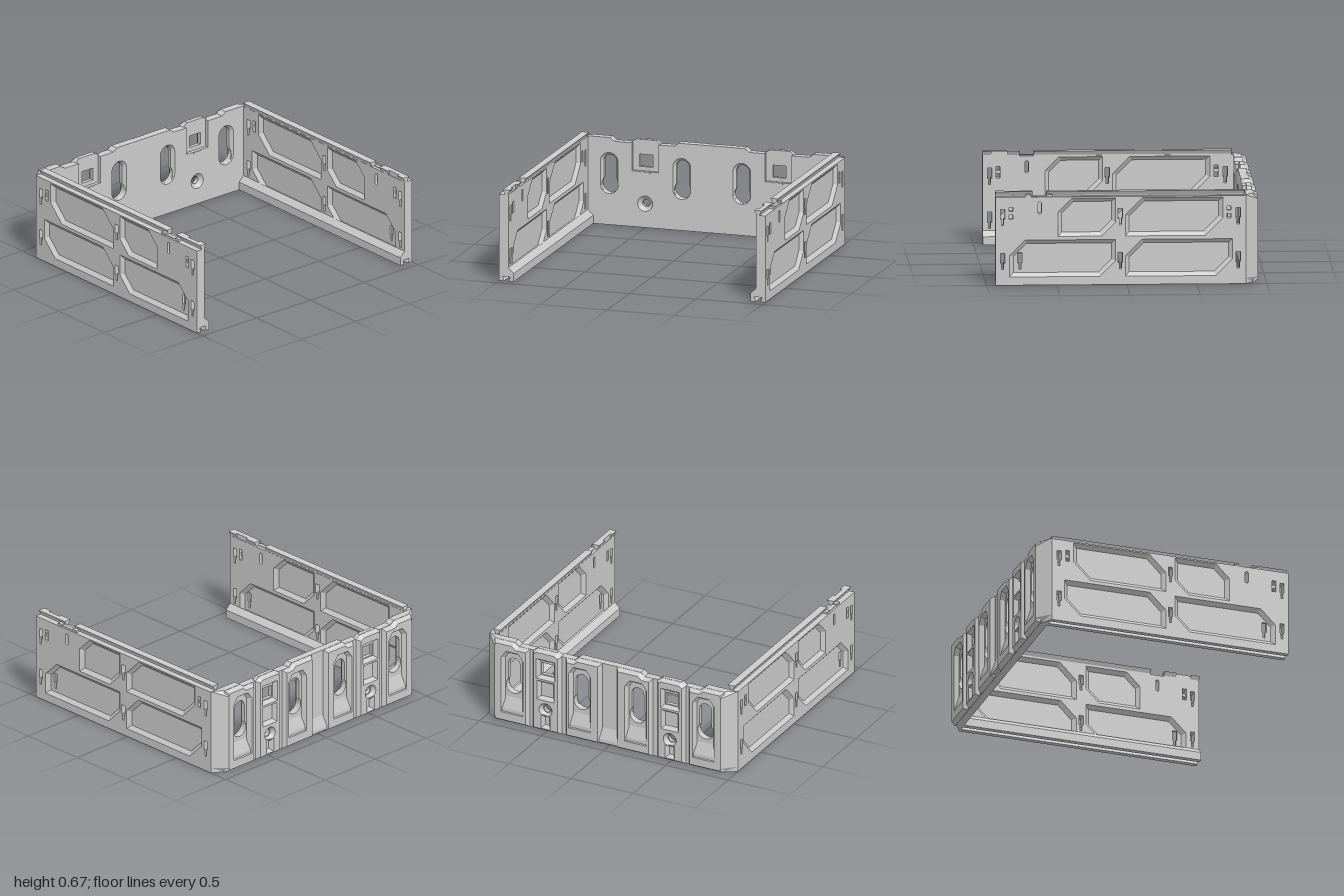
import * as THREE from 'three';

const grey = new THREE.MeshStandardMaterial({ color: 0xcccccc, flatShading: true });
const greyThin = new THREE.MeshStandardMaterial({ color: 0xcccccc, flatShading: true, side: THREE.DoubleSide });

const V = (pts) => pts.map(([x, y]) => new THREE.Vector2(x, y));
const rect = (x0, x1, y0, y1) => [[x0, y0], [x1, y0], [x1, y1], [x0, y1]];

// Extrude an outline with holes; bevel = [size, thickness] slopes all edges inwards
function extrude(outline, holes, depth, bevel, steps = 1) {
  const shape = new THREE.Shape(V(outline));
  holes.forEach((h) => shape.holes.push(new THREE.Path(V(h))));
  const b = bevel || [0, 0];
  return new THREE.ExtrudeGeometry(shape, {
    depth, steps, bevelEnabled: !!bevel, bevelSize: b[0], bevelOffset: -b[0], bevelThickness: b[1], bevelSegments: 1,
  });
}

// Sloped band joining two loops with the same number of points
function band(a, za, b, zb) {
  const pos = [];
  a.forEach((p, i) => {
    const j = (i + 1) % a.length;
    const A = [...p, za], B = [...a[j], za], C = [...b[j], zb], D = [...b[i], zb];
    pos.push(...A, ...B, ...C, ...A, ...C, ...D);
  });
  const g = new THREE.BufferGeometry();
  g.setAttribute('position', new THREE.Float32BufferAttribute(pos, 3));
  g.computeVertexNormals();
  return g;
}

// Slot loop: arc of radius rb at the bottom, rt at the top
function slot(cx, yb, rb, yt, rt, n = 14) {
  const pts = [];
  const a = Math.asin(Math.min(1, rt / rb) * 0.999);
  const start = rb > rt ? Math.PI / 2 - a : 0; // where the round end meets the narrow neck
  const span = Math.PI + 2 * start;
  for (let i = 0; i <= n; i++) {
    const t = Math.PI - -start * -1 + (span * i) / n;
    pts.push([cx + rb * Math.cos(t), yb + rb * Math.sin(t)]);
  }
  for (let i = 0; i <= n; i++) {
    const t = (Math.PI * i) / n;
    pts.push([cx + rt * Math.cos(t), yt + rt * Math.sin(t)]);
  }
  return pts;
}
const circle = (cx, cy, r, n = 24) =>
  Array.from({ length: n }, (_, i) => [cx + r * Math.cos((i / n) * 2 * Math.PI), cy + r * Math.sin((i / n) * 2 * Math.PI)]);

// Mirrored copy across x = 0 with corrected winding
function mirror(geo) {
  const g = geo.index ? geo.toNonIndexed() : geo.clone();
  g.scale(-1, 1, 1);
  const p = g.attributes.position;
  for (let i = 0; i < p.count; i += 3) {
    const b = [p.getX(i + 1), p.getY(i + 1), p.getZ(i + 1)];
    p.setXYZ(i + 1, p.getX(i + 2), p.getY(i + 2), p.getZ(i + 2));
    p.setXYZ(i + 2, ...b);
  }
  g.computeVertexNormals();
  return g;
}

export function createModel() {
  const root = new THREE.Group();
  root.name = 'mountingBracket';
  const left = new THREE.Group(), right = new THREE.Group();
  left.name = 'leftHalf';
  right.name = 'rightHalf';
  root.add(left, right);

  function add(name, geo, mat = grey) {
    [[left, geo], [right, mirror(geo)]].forEach(([parent, g]) => {
      const m = new THREE.Mesh(g, mat);
      m.name = name;
      parent.add(m);
    });
  }
  const box = (name, x0, x1, y0, y1, z0, z1) =>
    add(name, new THREE.BoxGeometry(x1 - x0, y1 - y0, z1 - z0).translate((x0 + x1) / 2, (y0 + y1) / 2, (z0 + z1) / 2));

  // ---- Back plate: front skin with countersinks, rear skin with through holes
  const keyX = [0.225, 0.77];
  const rims = keyX.map((x) => slot(x, 0.295, 0.067, 0.463, 0.067));
  const keys = keyX.map((x) => slot(x, 0.295, 0.064, 0.463, 0.048));
  const topEdge = [[0.9, 0.64], [0.765, 0.64], [0.73, 0.615], [0.61, 0.615]];
  const topEnd = [[0.39, 0.615], [0.28, 0.615], [0.25, 0.64], [0, 0.64]];
  const recess = [[0.6, 0.615], [0.6, 0.41], [0.4, 0.41], [0.4, 0.615]];
  const tab = [[0.58, 0.64], [0.425, 0.64]];
  const bolt = circle(0.5, 0.175, 0.057), boltIn = circle(0.5, 0.175, 0.027);
  add('backPlateFront', extrude([[0, 0], [0.9, 0], ...topEdge, ...recess, ...topEnd], [...rims, bolt], 0.025).translate(0, 0, -0.875));
  add('backPlateRear', extrude([[0, 0], [0.9, 0], ...topEdge, ...tab, ...topEnd],
    [...keys, boltIn, rect(0.45, 0.55, 0.44, 0.53)], 0.03).translate(0, 0, -0.905));
  keyX.forEach((_, i) => add('keyholeRim', band(rims[i], -0.85, keys[i], -0.876), greyThin));
  add('boltCountersink', band(bolt, -0.85, boltIn, -0.876), greyThin);
  box('windowLip', 0.465, 0.535, 0.398, 0.408, -0.855, -0.843);

  // ---- Raised ribs on the rear, with pockets behind the keyholes
  const pocket = (x) => [[-0.068, 0.1], [0.068, 0.1], [0.068, 0.51], [0.04, 0.55], [-0.04, 0.55], [-0.068, 0.51]].map(([u, y]) => [x + u, y]);
  const rib = (name, outline, holes) => add(name, extrude(outline, holes, 0.002, [0.02, 0.03]).translate(0, 0, -0.91));
  rib('innerRib', [[0.06, 0], [0.35, 0], [0.35, 0.615], [0.28, 0.615], [0.25, 0.64], [0.06, 0.64]], [pocket(keyX[0])]);
  rib('outerRib', [[0.64, 0], [0.925, 0], [0.925, 0.64], [0.765, 0.64], [0.73, 0.615], [0.64, 0.615]], [pocket(keyX[1])]);
  rib('windowRib', [[0.385, 0], [0.615, 0], [0.615, 0.615], [0.58, 0.64], [0.425, 0.64], [0.385, 0.615]],
    [rect(0.445, 0.555, 0.435, 0.55), rect(0.45, 0.55, 0.27, 0.38), circle(0.5, 0.175, 0.032), rect(0.483, 0.517, 0.045, 0.11)]);

  // Sloped shelves at the foot of each pocket and of the centre groove
  const wedge = (x0, x1, y0, y1) =>
    add('slopedShelf', extrude([[0.9, y0], [0.932, y0], [0.932, y0 + 0.025], [0.905, y1], [0.9, y1]], [], x1 - x0).rotateY(Math.PI / 2).translate(x0, 0, 0));
  keyX.forEach((x) => wedge(x - 0.085, x + 0.085, 0.085, 0.2));
  wedge(0, 0.075, 0.02, 0.13);

  // ---- Chamfered corner post joining back and side
  const post = extrude([[0.9, 0.85], [1, 0.85], [0.91, 0.94], [0.9, 0.94]], [], 0.64, null, 16).rotateX(-Math.PI / 2);
  // bring z forward for upright corners and cut back the top and bottom ends
  const pp = post.attributes.position;
  for (let i = 0; i < pp.count; i++) {
    const y = pp.getY(i);
    if (y < 0.01 || y > 0.63) pp.setZ(i, Math.max(pp.getZ(i), -0.905));
  }
  post.computeVertexNormals();
  add('cornerPost', post);

  // ---- Side wall: u runs towards the back (u = -z)
  const side = (g, x) => g.rotateY(Math.PI / 2).translate(x, 0, 0);
  const panel = ([u0, u1, y0, y1, c], d) => {
    const k = c - d * 0.586;
    const [a, b, e, f] = [u0 + d, u1 - d, y0 + d, y1 - d];
    return [[a, e], [b - k, e], [b, e + k], [b, f], [a + k, f], [a, f - k]];
  };
  const panels = [
    [-0.49, -0.08, 0.35, 0.625, 0.1], [-0.01, 0.685, 0.35, 0.625, 0.125],
    [-0.835, -0.08, 0.06, 0.325, 0.11], [-0.01, 0.755, 0.06, 0.325, 0.12],
  ];
  const hook = (u, y) => [[u - 0.008, y], [u + 0.008, y], [u + 0.008, y + 0.045], [u + 0.016, y + 0.045],
    [u + 0.016, y + 0.118], [u - 0.016, y + 0.118], [u - 0.016, y + 0.045], [u - 0.008, y + 0.045]];
  const slots = [];
  [-0.885, -0.045, 0.795].forEach((u) => [0.43, 0.113].forEach((y) => slots.push(hook(u, y))));
  slots.push(slot(-0.62, 0.524, 0.012, 0.588, 0.012, 8));
  const clips = [-0.825, 0.73];
  const clipHoles = clips.map((u) => rect(u - 0.014, u + 0.014, 0.475, 0.56));
  const wall = [[-0.935, 0.04], [0.85, 0.04], [0.85, 0.635], [-0.935, 0.635]];
  const outer = panels.map((p) => panel(p, 0));
  add('sideWallOuterSkin', side(extrude(wall, [...slots, ...clipHoles, ...outer], 0.025), 0.975));
  add('sideWallInnerSkin', side(extrude(wall, [...slots, ...clipHoles, ...outer], 0.025), 0.93));
  add('sideWallWeb', side(extrude(wall, [...slots, ...clipHoles, hook(-0.76, 0.113)], 0.02), 0.955));
  panels.forEach((p) => {
    add('panelSlopeOutside', side(band(panel(p, 0), 1, panel(p, 0.028), 0.975), 0), greyThin);
    add('panelSlopeInside', side(band(panel(p, 0), 0.93, panel(p, 0.028), 0.955), 0), greyThin);
  });
  clips.forEach((u) => box('clipBridge', 0.945, 0.99, 0.505, 0.53, -u - 0.014, -u + 0.014));

  // ---- Foot flange with a dovetail groove underneath
  const along = (name, profile, z0, z1) => add(name, extrude(profile, [], z1 - z0).translate(0, 0, z0));
  along('footFlange', [[1, 0], [1, 0.04], [0.93, 0.04], [0.93, 0.1], [0.89, 0.06], [0.89, 0],
    [0.928, 0], [0.915, 0.034], [0.975, 0.034], [0.962, 0]], -0.85, 0.935);

  // ---- Dovetail rail on top, interrupted by a latch gap
  const rail = [[0.932, 0.63], [0.956, 0.63], [0.956, 0.642], [0.972, 0.67], [0.916, 0.67], [0.932, 0.642]];
  const slimRail = rail.map(([x, y]) => [Math.max(x, 0.934), y]);
  along('topRail', rail, -0.84, 0.57);
  along('topRailFrontA', rail, 0.67, 0.76);
  along('topRailFrontB', slimRail, 0.76, 0.87);
  along('topRailFrontC', rail, 0.87, 0.935);
  [[0.53, 0.57], [0.68, 0.72]].forEach(([a, b]) => box('latchBlock', 0.952, 0.99, 0.62, 0.65, a, b));
  box('latchBar', 0.955, 0.985, 0.625, 0.64, 0.57, 0.68);

  return root;
}
